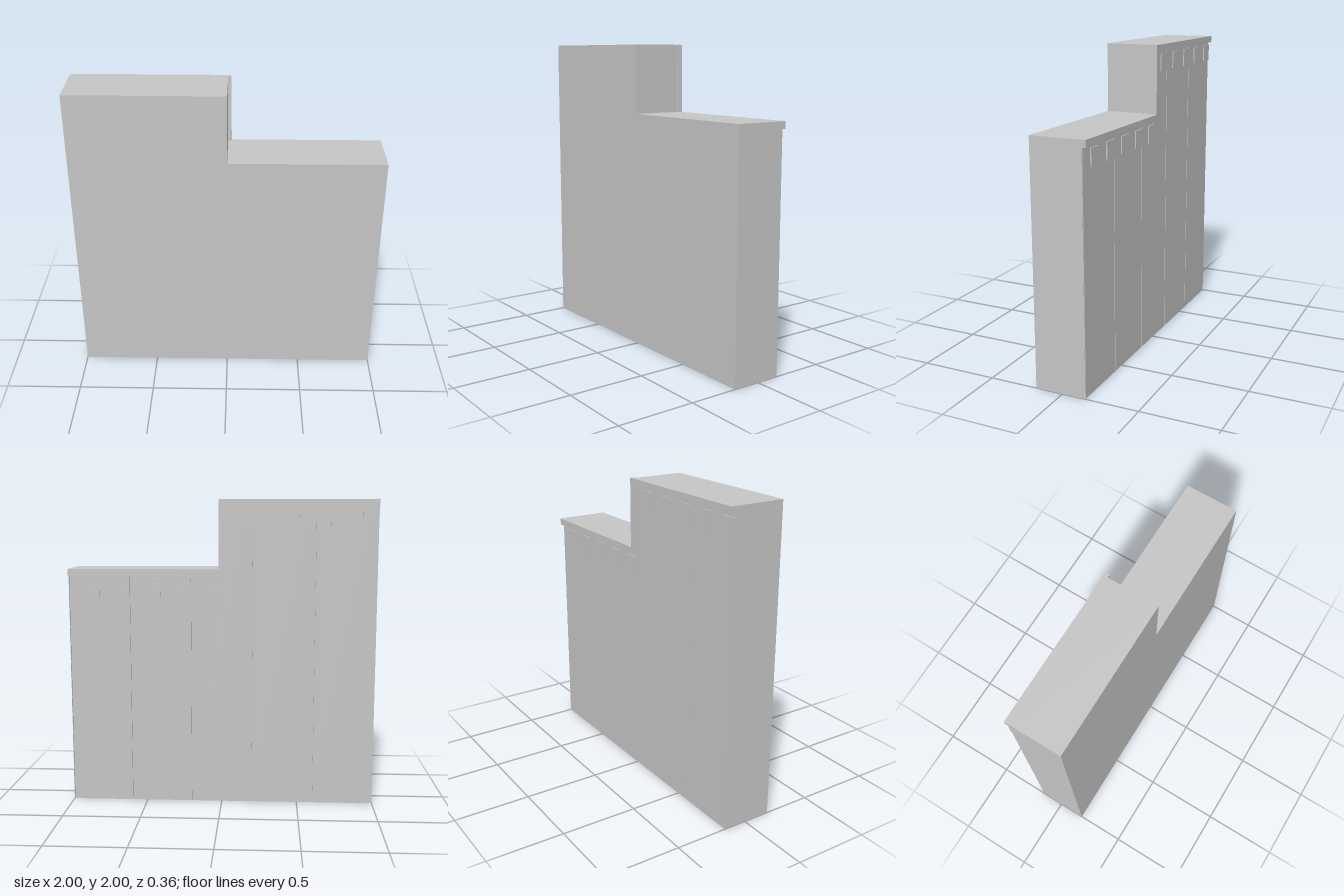
import * as THREE from 'three';

const HIGH = 2, LOW = 1.555;          // heights of the two wall levels
const FRONT = 0.18, CORE = -0.143, BACK = -0.155, TRIM = -0.18;

const outline = pts => pts.map(p => new THREE.Vector2(...p));

// Stepped wall outline, with the drop at x = 0
const steppedShape = () => new THREE.Shape(outline([
  [-1, 0], [1, 0], [1, LOW], [0, LOW], [0, HIGH], [-1, HIGH],
]));

export function createModel() {
  const group = new THREE.Group();
  const grey = new THREE.MeshStandardMaterial({ color: 0xc6c6c6 });
  grey.name = 'light grey';

  const add = (name, geometry) => {
    const mesh = new THREE.Mesh(geometry, grey);
    mesh.name = name;
    group.add(mesh);
    return mesh;
  };
  // Extrude a shape between two depths
  const slab = (name, shape, zBack, zFront) => {
    const g = new THREE.ExtrudeGeometry(shape, { depth: zFront - zBack, bevelEnabled: false });
    return add(name, g.translate(0, 0, zBack));
  };

  // Solid stepped wall
  slab('wallCore', steppedShape(), CORE, FRONT);

  // Back facing, cut by narrow grooves into five boards
  const facing = steppedShape();
  for (const x of [-0.6, -0.2, 0.2, 0.6, 0.998]) {
    const top = (x < 0 ? HIGH : LOW) - 0.04;
    facing.holes.push(new THREE.Path(outline([
      [x - 0.006, 0.002], [x - 0.006, top], [x, top], [x, 0.002],
    ])));
  }
  slab('boardedBack', facing, BACK, CORE);

  // Coping band that follows the stepped top edge
  const band = new THREE.Shape(outline([
    [-1, HIGH - 0.045], [-0.025, HIGH - 0.045], [-0.025, LOW - 0.045], [1, LOW - 0.045],
    [1, LOW], [0.02, LOW], [0.02, HIGH], [-1, HIGH],
  ]));
  slab('copingBand', band, TRIM, BACK);

  // Row of small raised blocks under the band
  for (let i = 0; i < 10; i++) {
    const x = -1 + i * 0.2;
    const top = (x < -0.01 ? HIGH : LOW) - 0.063;
    const block = add('trimBlock', new THREE.BoxGeometry(0.1, 0.112, 0.02));
    block.position.set(x + 0.05, top - 0.056, BACK + 0.003);
  }
  return group;
}
